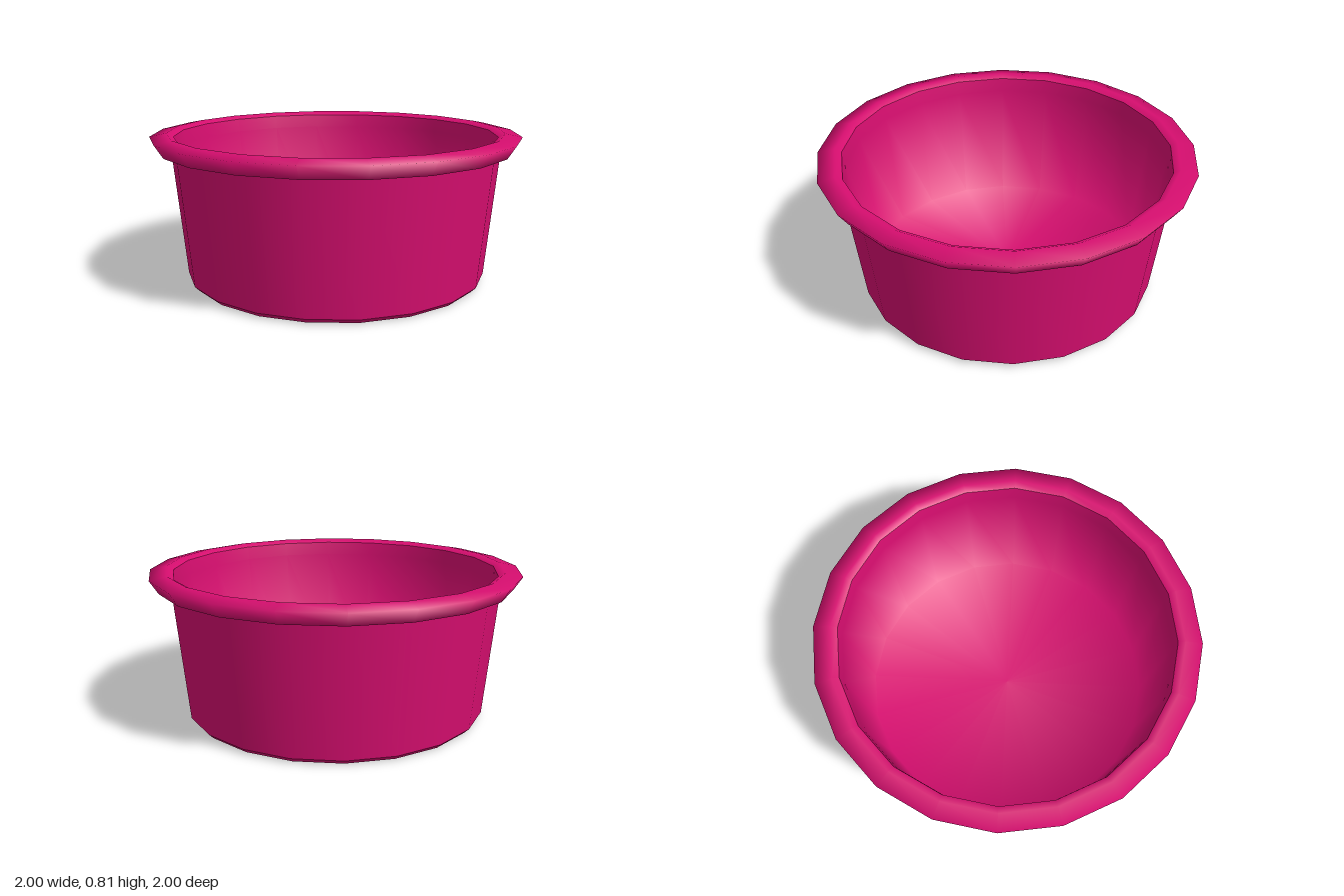
import * as THREE from 'three';

const SIDES = 20;

export function createModel() {
  const group = new THREE.Group();
  group.name = 'roundTub';
  const material = new THREE.MeshStandardMaterial({ color: 0xd80e70 });

  // Revolve a [radius, height] profile around the y axis
  const addLathe = (name, profile) => {
    const points = profile.map(([r, y]) => new THREE.Vector2(r, y));
    const mesh = new THREE.Mesh(new THREE.LatheGeometry(points, SIDES), material);
    mesh.name = name;
    group.add(mesh);
  };

  // Flat underside
  addLathe('base', [[0, 0], [0.8, 0]]);

  // Tapered outer wall with a small bevel at the foot
  addLathe('footBevel', [[0.8, 0], [0.825, 0.025]]);
  addLathe('outerWall', [[0.825, 0.025], [0.89, 0.71]]);

  // Overhanging rolled rim
  addLathe('rim', [
    [0.89, 0.71], [0.955, 0.717], [1, 0.787], [0.91, 0.805], [0.875, 0.785],
  ]);

  // Hollow inside, shaded smoothly from wall to floor
  addLathe('interior', [[0.875, 0.785], [0.865, 0.71], [0.8, 0.03], [0, 0.03]]);

  return group;
}
